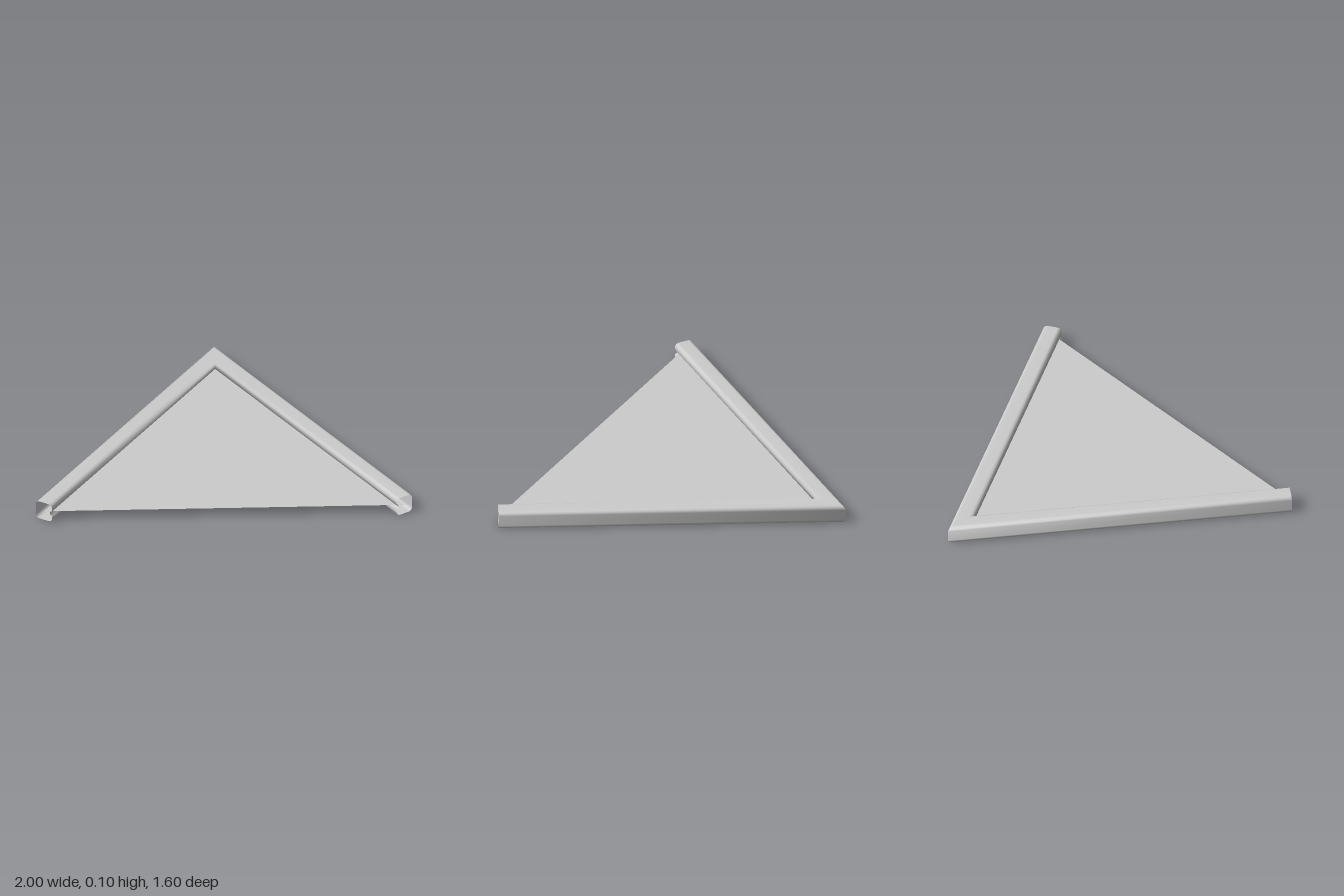
import * as THREE from 'three';

const HALF = 0.05, HEIGHT = 0.105, RADIUS = 0.022, PANEL_Y = 0.052;

// Rounded tube section as [outward, up], with a shallow groove on the inner side
function railSection() {
  const points = [];
  const corner = (u, v, start) => {
    for (let i = 0; i <= 4; i++) {
      const a = start + (i / 4) * Math.PI / 2;
      points.push([u + RADIUS * Math.cos(a), v + RADIUS * Math.sin(a)]);
    }
  };
  const c = HALF - RADIUS;
  corner(c, HEIGHT - RADIUS, 0);
  corner(-c, HEIGHT - RADIUS, Math.PI / 2);
  points.push([-HALF, 0.066], [-0.036, 0.06], [-0.036, 0.045], [-HALF, 0.039]);
  corner(-c, RADIUS, Math.PI);
  corner(c, RADIUS, Math.PI * 1.5);
  return points;
}

// Sweep the section through the three stations, mitred at the apex
function railGeometry(stations) {
  const section = railSection(), n = section.length;
  const positions = [], index = [];
  for (const s of stations) {
    for (const [u, v] of section) positions.push(s.x + s.ox * u, v, s.z + s.oz * u);
  }
  for (let i = 0; i < stations.length - 1; i++) {
    for (let j = 0; j < n; j++) {
      const a = i * n + j, b = i * n + (j + 1) % n;
      index.push(a, b, a + n, b, b + n, a + n);
    }
  }
  const geometry = new THREE.BufferGeometry();
  geometry.setAttribute('position', new THREE.Float32BufferAttribute(positions, 3));
  geometry.setIndex(index);
  geometry.computeVertexNormals();
  return geometry;
}

export function createModel() {
  const group = new THREE.Group();
  const lightGrey = new THREE.MeshStandardMaterial({ color: 0xcccccc, side: THREE.DoubleSide });
  lightGrey.name = 'lightGrey';

  // Centre line of the V frame, with outward directions
  const stations = [
    { x: -0.957, z: 0.773, ox: -0.84, oz: -0.542 },
    { x: 0, z: -0.712, ox: 0, oz: -1.845 },
    { x: 0.957, z: 0.773, ox: 0.84, oz: -0.542 },
  ];

  // Hollow frame, open at both front ends
  const frame = new THREE.Mesh(railGeometry(stations), lightGrey);
  frame.name = 'frame';
  group.add(frame);

  // Thin triangular sheet held between the rails
  const outline = new THREE.Shape(stations.map((s) => new THREE.Vector2(s.x, -s.z)));
  const panel = new THREE.Mesh(new THREE.ShapeGeometry(outline).rotateX(-Math.PI / 2), lightGrey);
  panel.position.y = PANEL_Y;
  panel.name = 'panel';
  group.add(panel);

  return group;
}
